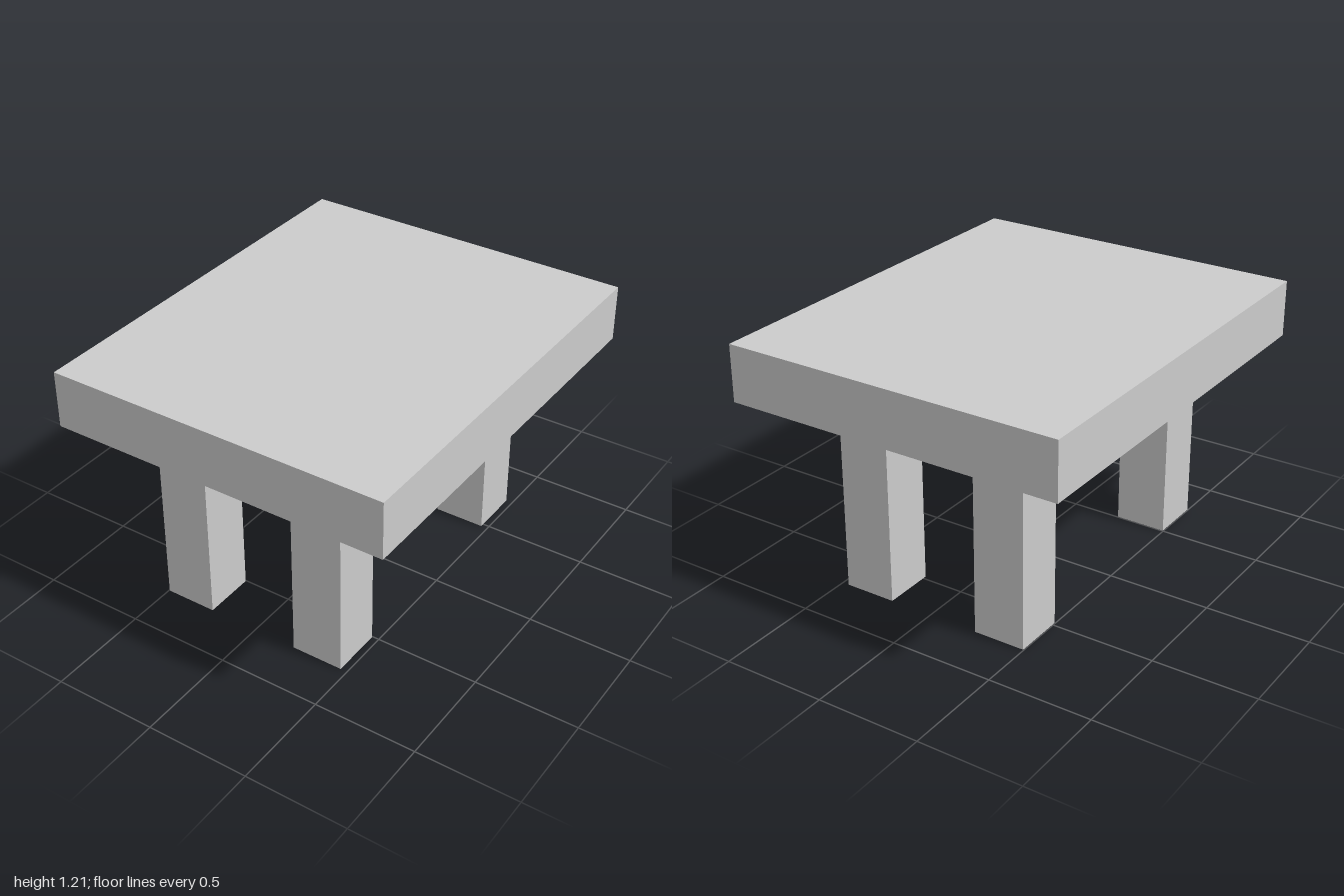
import * as THREE from 'three';

const TOP_Y = 1.212, UNDER_Y = 0.938, LEG = 0.253;

export function createModel() {
  const group = new THREE.Group();
  const material = new THREE.MeshStandardMaterial({ color: 0xcccccc, flatShading: true });

  // Box standing on y = bottom
  const addBox = (name, w, h, d, x, bottom, z) => {
    const mesh = new THREE.Mesh(new THREE.BoxGeometry(w, h, d), material);
    mesh.name = name;
    mesh.position.set(x, bottom + h / 2, z);
    group.add(mesh);
  };

  // Thick slab top
  addBox('tableTop', 1.66, TOP_Y - UNDER_Y, 2, 0, UNDER_Y, 0);

  // Four square legs, set slightly off centre
  for (const [side, x] of [['Left', 0.34], ['Right', -0.37]]) {
    for (const [end, z] of [['front', 0.63], ['back', -0.608]]) {
      addBox(`${end}${side}Leg`, LEG, UNDER_Y, LEG, x, 0, z);
    }
  }
  return group;
}
